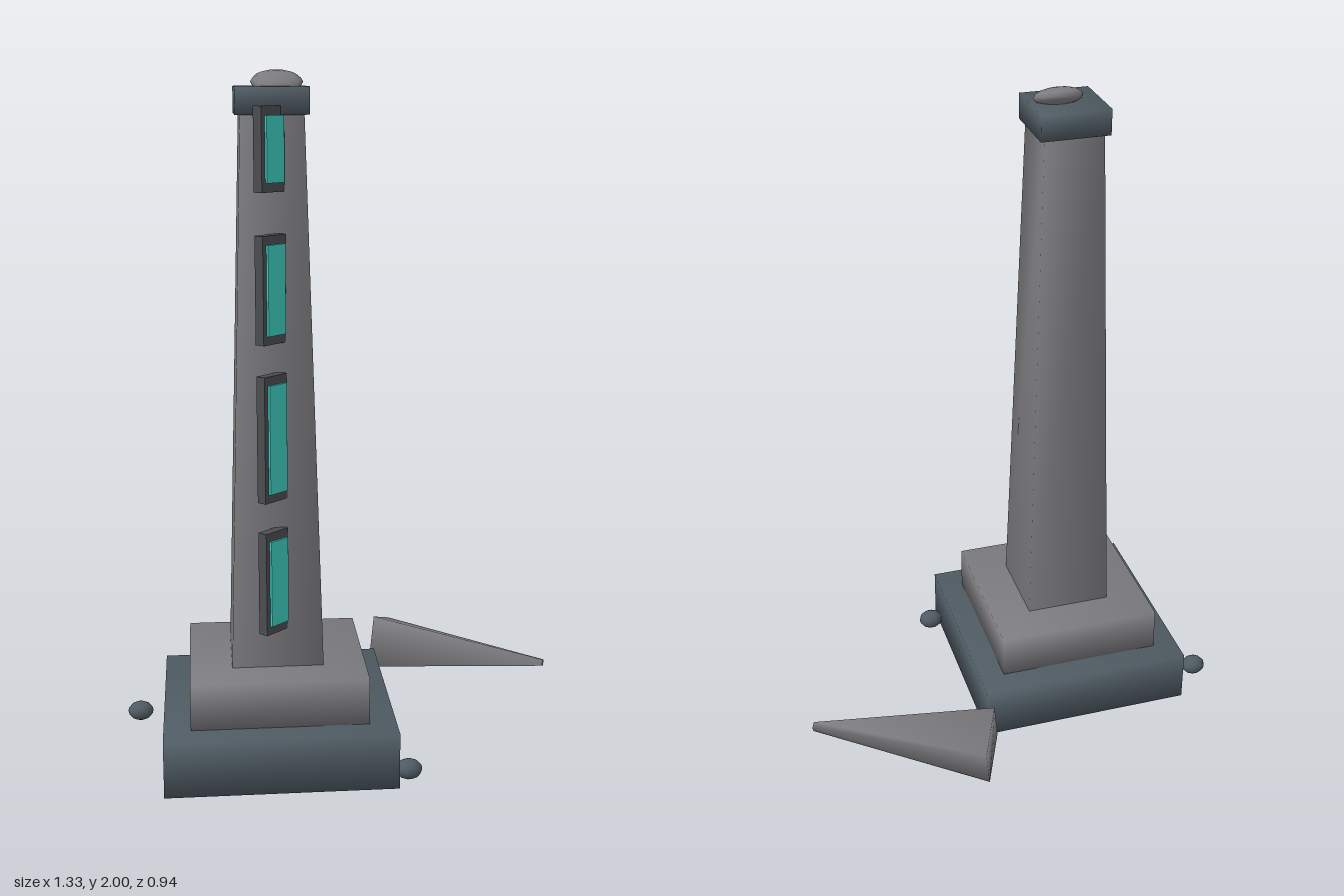
import * as THREE from 'three';
import { mergeVertices } from 'three/addons/utils/BufferGeometryUtils.js';

const material = (name, color) => {
  const m = new THREE.MeshStandardMaterial({ color });
  m.name = name;
  return m;
};

// Weld shared corners so the shading runs softly over the edges.
function soften(geometry) {
  geometry.deleteAttribute('normal');
  geometry.deleteAttribute('uv');
  const welded = mergeVertices(geometry, 1e-4);
  welded.computeVertexNormals();
  return welded;
}

// Square block from y0 to y1 with its own half width at each end.
function block(y0, y1, halfBottom, halfTop) {
  const g = new THREE.BoxGeometry(2, y1 - y0, 2);
  g.translate(0, (y0 + y1) / 2, 0);
  const p = g.attributes.position;
  for (let i = 0; i < p.count; i++) {
    const s = p.getY(i) > (y0 + y1) / 2 ? halfTop : halfBottom;
    p.setX(i, p.getX(i) * s);
    p.setZ(i, p.getZ(i) * s);
  }
  return soften(g);
}

export function createModel() {
  const model = new THREE.Group();
  model.name = 'ruinedObelisk';
  const slate = material('slate', 0x4f5b63);
  const stone = material('stone', 0x7c7c80);
  const frameStone = material('frameStone', 0x4a4c50);
  const glow = material('turquoise', 0x3ecdc0);
  const moss = material('moss', 0x4a4c1c);

  const add = (parent, name, geometry, mat, x = 0, y = 0, z = 0) => {
    const mesh = new THREE.Mesh(geometry, mat);
    mesh.name = name;
    mesh.position.set(x, y, z);
    parent.add(mesh);
    return mesh;
  };

  // Stepped pedestal, tapering shaft and cap
  const tower = new THREE.Group();
  tower.name = 'tower';
  tower.position.set(-0.217, 0, 0.14);
  model.add(tower);
  add(tower, 'lowerStep', block(0.015, 0.18, 0.331, 0.331), slate);
  add(tower, 'upperStep', block(0.18, 0.315, 0.254, 0.254), stone);
  add(tower, 'shaft', block(0.315, 1.88, 0.132, 0.088), stone);
  add(tower, 'cap', block(1.88, 1.955, 0.102, 0.102), slate);

  // Tilted pebble on the cap
  const pebble = add(model, 'topPebble', new THREE.SphereGeometry(1, 10, 8), stone, -0.2, 1.967, 0.15);
  pebble.scale.set(0.073, 0.026, 0.066);
  pebble.rotation.x = 0.35;

  // Framed glowing panels set diagonally up the front: bottom, top, z
  const panels = [
    [0.43, 0.73, 0.287],
    [0.815, 1.175, 0.28],
    [1.26, 1.56, 0.266],
    [1.675, 1.905, 0.254],
  ];
  panels.forEach(([y0, y1, z], i) => {
    const panel = new THREE.Group();
    panel.name = `panel${i + 1}`;
    panel.position.set(-0.228, (y0 + y1) / 2, z);
    panel.rotation.y = Math.PI / 4;
    model.add(panel);
    add(panel, 'panelFrame', new THREE.BoxGeometry(0.092, y1 - y0, 0.03), frameStone);
    add(panel, 'panelGlow', new THREE.BoxGeometry(0.07, y1 - y0 - 0.05, 0.008), glow, 0.003, 0, 0.018);
  });

  // Fallen four-sided spire lying behind the pedestal
  const wide = new THREE.Vector3(0.15, 0.135, -0.37);
  const tip = new THREE.Vector3(0.655, 0.135, -0.133);
  const axis = tip.clone().sub(wide);
  const spire = add(model, 'fallenSpire',
    soften(new THREE.CylinderGeometry(0.014, 0.116, axis.length(), 4)), stone);
  spire.position.copy(wide).add(tip).multiplyScalar(0.5);
  spire.quaternion.setFromUnitVectors(new THREE.Vector3(0, 1, 0), axis.normalize());

  // Loose stones
  for (const [x, z] of [[-0.63, -0.085], [0.148, 0.405]]) {
    add(model, 'looseStone', new THREE.SphereGeometry(1, 10, 8), slate, x, 0.043, z)
      .scale.set(0.039, 0.029, 0.034);
  }

  // Moss patch just showing under the pedestal
  add(model, 'mossPatch', new THREE.SphereGeometry(1, 10, 6), moss, -0.455, 0.016, 0.28)
    .scale.set(0.05, 0.016, 0.04);

  return model;
}
